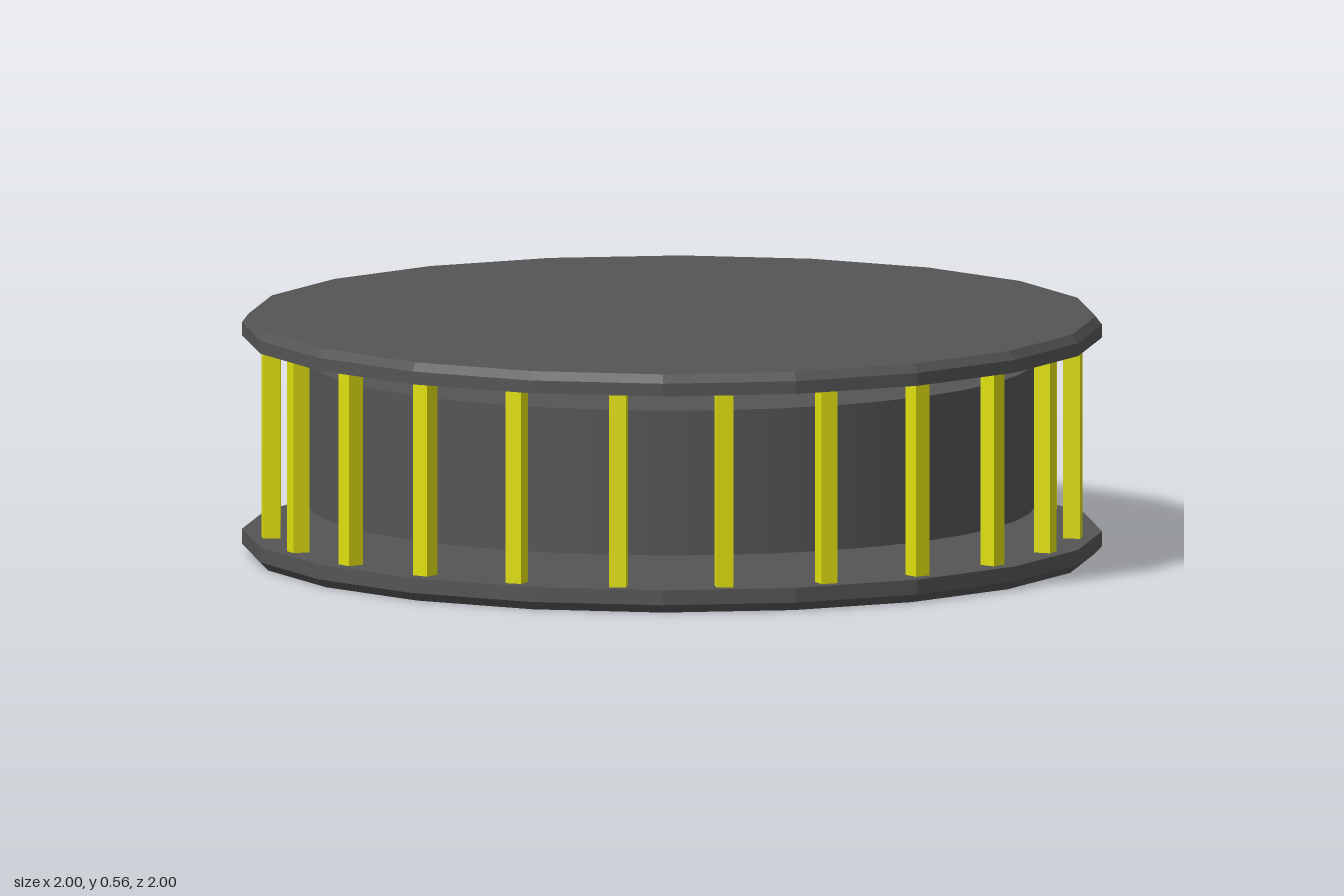
import * as THREE from 'three';

const POSTS = 24;
const POST_PHASE = THREE.MathUtils.degToRad(8.6);
const POST_RADIUS = 0.94;

export function createModel() {
  const model = new THREE.Group();
  model.name = 'cage';

  const plateMaterial = new THREE.MeshStandardMaterial({ color: 0x555555, flatShading: true });
  const drumMaterial = new THREE.MeshStandardMaterial({ color: 0x555555 });
  const postMaterial = new THREE.MeshStandardMaterial({ color: 0xe0e010 });

  function add(name, geometry, material, parent = model) {
    const mesh = new THREE.Mesh(geometry, material);
    mesh.name = name;
    parent.add(mesh);
    return mesh;
  }

  // Twenty-sided plates, bevelled on their outer rims
  const plate = (points) =>
    new THREE.LatheGeometry(points.map(([r, y]) => new THREE.Vector2(r, y)), 20);
  add('bottomPlate', plate([[0, 0], [0.98, 0], [1, 0.02], [1, 0.055], [0, 0.055]]), plateMaterial);
  add('topPlate', plate([[0, 0.51], [1, 0.51], [1, 0.54], [0.985, 0.56], [0, 0.56]]), plateMaterial);

  // Inner drum, floating between the plates
  add('drum', new THREE.CylinderGeometry(0.845, 0.845, 0.34, 40), drumMaterial).position.y = 0.285;

  // Ring of square posts facing outwards
  const posts = new THREE.Group();
  posts.name = 'posts';
  model.add(posts);
  const postGeometry = new THREE.BoxGeometry(0.04, 0.46, 0.04);
  for (let i = 0; i < POSTS; i++) {
    const angle = POST_PHASE + (i / POSTS) * Math.PI * 2;
    const post = add('post', postGeometry, postMaterial, posts);
    post.position.set(Math.sin(angle) * POST_RADIUS, 0.2825, Math.cos(angle) * POST_RADIUS);
    post.rotation.y = angle;
  }

  return model;
}
